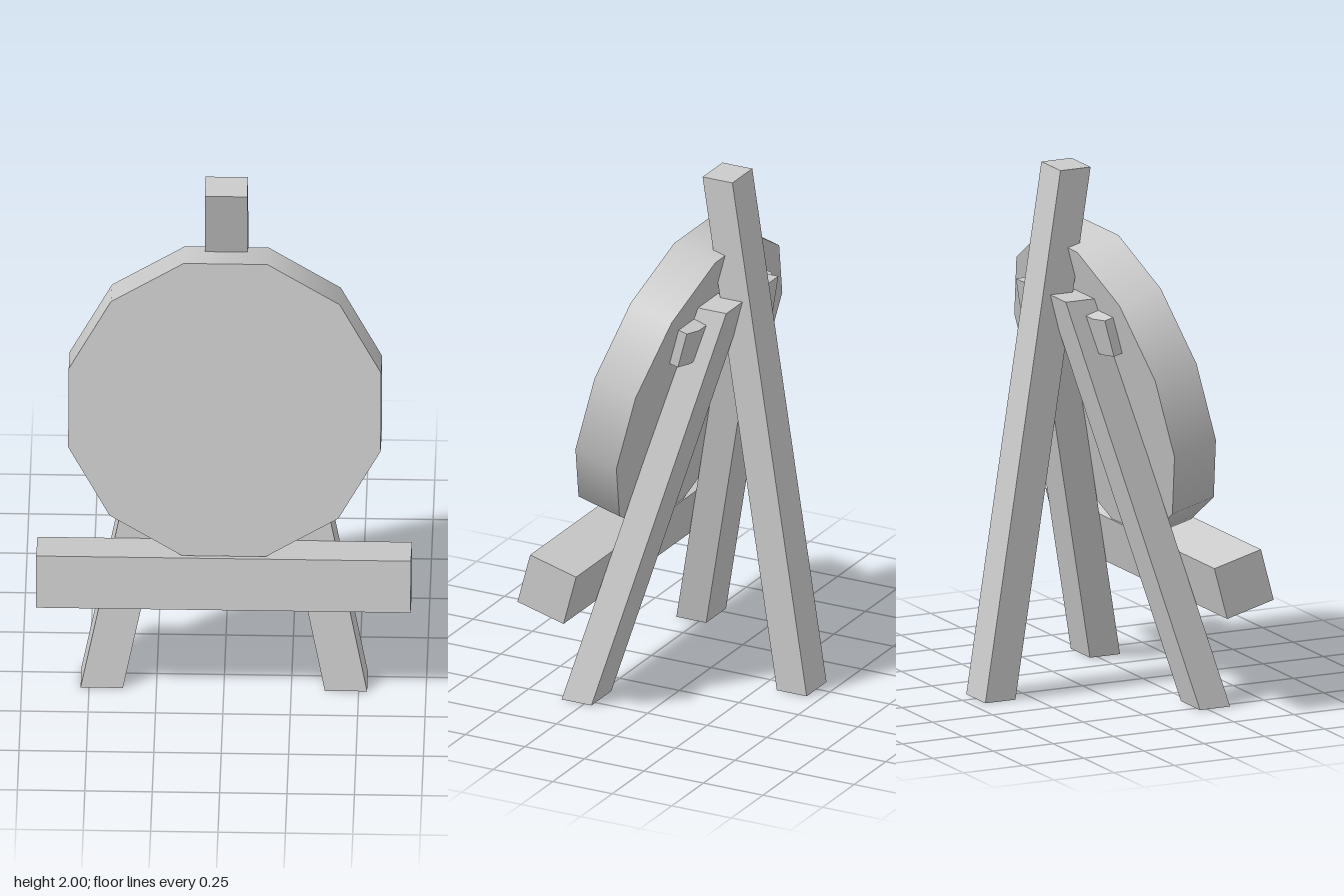
import * as THREE from 'three';

const TILT = -Math.PI / 12; // the board leans back by 15 degrees

export function createModel() {
  const model = new THREE.Group();
  model.name = 'targetOnEasel';
  const material = new THREE.MeshStandardMaterial({ color: 0xcccccc });

  function add(name, geometry, x = 0, y = 0, z = 0, tilt = 0) {
    const mesh = new THREE.Mesh(geometry, material);
    mesh.name = name;
    mesh.position.set(x, y, z);
    mesh.rotation.x = tilt;
    model.add(mesh);
    return mesh;
  }

  // Slanted beam with level ends: a box whose layers slide from foot to top
  function beam(width, depth, height, foot, top) {
    const geometry = new THREE.BoxGeometry(width, height, depth);
    geometry.translate(0, height / 2, 0);
    const p = geometry.attributes.position;
    for (let i = 0; i < p.count; i++) {
      const t = p.getY(i) / height;
      p.setX(i, p.getX(i) + THREE.MathUtils.lerp(foot[0], top[0], t));
      p.setZ(i, p.getZ(i) + THREE.MathUtils.lerp(foot[1], top[1], t));
    }
    geometry.computeVertexNormals();
    return geometry;
  }

  // Legs: two splayed in front, one long post behind
  for (const [side, name] of [[1, 'leftFrontLeg'], [-1, 'rightFrontLeg']]) {
    add(name, beam(0.157, 0.125, 1.53, [side * 0.453, 0.282], [side * 0.127, -0.111]));
  }
  add('rearPost', beam(0.157, 0.125, 2, [0, -0.381], [0, -0.069]));

  // Twelve-sided target board with a flat side on top
  const board = new THREE.CylinderGeometry(0.6, 0.6, 0.178, 12);
  board.rotateY(Math.PI / 12);
  board.rotateX(Math.PI / 2);
  add('targetBoard', board, 0, 1.165, 0.135, TILT);

  // Ledge that the board rests on
  add('ledge', new THREE.BoxGeometry(1.39, 0.205, 0.2), 0, 0.506, 0.32, TILT);

  // Crossbar behind the board, bevelled at the back of both ends
  const outline = new THREE.Shape([
    [-0.337, 0], [0.337, 0], [0.337, 0.036], [0.275, 0.055], [-0.275, 0.055], [-0.337, 0.036],
  ].map(([x, y]) => new THREE.Vector2(x, y)));
  const crossbar = new THREE.ExtrudeGeometry(outline, { depth: 0.146, bevelEnabled: false });
  crossbar.translate(0, 0, -0.073);
  crossbar.rotateX(-Math.PI / 2);
  add('crossbar', crossbar, 0, 1.416, -0.024, TILT);

  return model;
}
